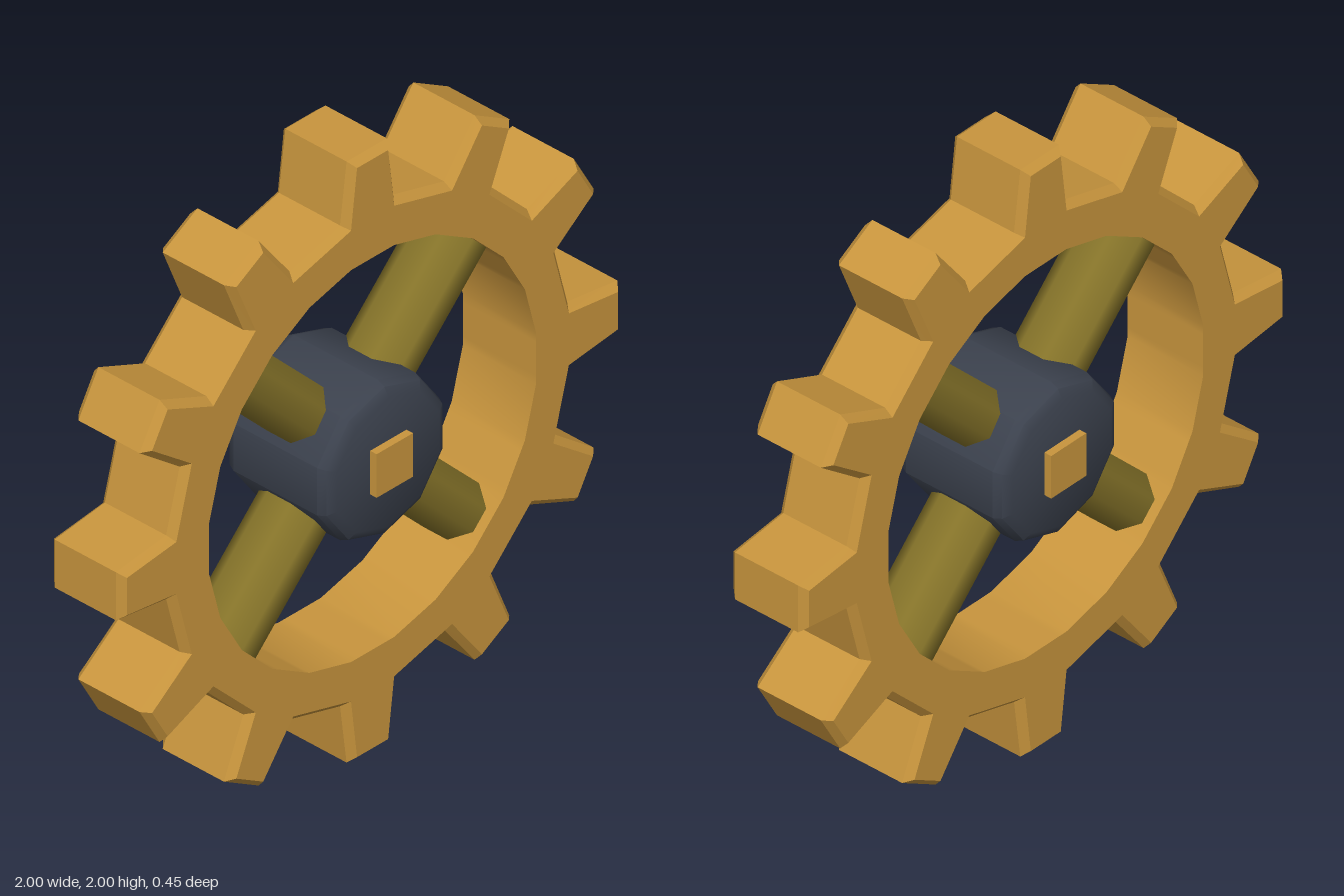
import * as THREE from 'three';
import { toCreasedNormals } from 'three/addons/utils/BufferGeometryUtils.js';

const TEETH = 12;

// Repeats one tooth's outline points [x, y] (tooth pointing along +x) around the wheel
function wheelLoop(tooth, z) {
  const loop = [];
  for (let i = 0; i < TEETH; i++) {
    const a = (i / TEETH) * Math.PI * 2, c = Math.cos(a), s = Math.sin(a);
    for (const [x, y] of tooth) loop.push([x * c - y * s, x * s + y * c, z]);
  }
  return loop;
}

// Joins closed loops with equal point counts into a closed tube; last loop meets the first
function joinLoops(loops) {
  const n = loops[0].length, index = [];
  for (let l = 0; l < loops.length; l++) {
    const m = (l + 1) % loops.length;
    for (let i = 0; i < n; i++) {
      const j = (i + 1) % n;
      const a = l * n + i, b = l * n + j, c = m * n + j, d = m * n + i;
      index.push(a, b, c, a, c, d);
    }
  }
  const geo = new THREE.BufferGeometry();
  geo.setAttribute('position', new THREE.Float32BufferAttribute(loops.flat(2), 3));
  geo.setIndex(index);
  return toCreasedNormals(geo, 0.35);
}

const mirrored = ([[rx, ry], [tx, ty]]) => [[rx, -ry], [tx, -ty], [tx, ty], [rx, ry]];

export function createModel() {
  const gold = new THREE.MeshStandardMaterial({ color: 0xc8953d });
  const olive = new THREE.MeshStandardMaterial({ color: 0x857329 });
  const iron = new THREE.MeshStandardMaterial({ color: 0x3b414d });

  const model = new THREE.Group();
  const wheel = new THREE.Group();
  wheel.name = 'gearWheel';
  wheel.position.y = 1;
  model.add(wheel);
  const add = (name, geo, mat, parent = wheel) => {
    const mesh = new THREE.Mesh(geo, mat);
    mesh.name = name;
    parent.add(mesh);
    return mesh;
  };

  // Toothed rim: bevelled outside, plain 24-sided hole
  const outer = mirrored([[0.8, 0.106], [1, 0.08]]);
  const face = mirrored([[0.783, 0.086], [0.98, 0.062]]);
  const hole = mirrored([[0.652, 0.0858], [0.652, 0.055]]);
  add('toothedRim', joinLoops([
    wheelLoop(hole, -0.14), wheelLoop(face, -0.14), wheelLoop(outer, -0.117),
    wheelLoop(outer, 0.117), wheelLoop(face, 0.14), wheelLoop(hole, 0.14),
  ]), gold);

  // Four diagonal eight-sided spokes, deeper than wide, from inside the hub into the rim
  const spokes = new THREE.Group();
  spokes.name = 'spokes';
  wheel.add(spokes);
  const spokeGeo = new THREE.CylinderGeometry(0.097, 0.097, 0.54, 8);
  spokeGeo.rotateY(Math.PI / 8);
  spokeGeo.scale(1, 1, 1.2);
  spokeGeo.translate(0, 0.41, 0);
  for (let i = 0; i < 4; i++) {
    add('spoke', spokeGeo, olive, spokes).rotation.z = Math.PI / 4 + (i * Math.PI) / 2;
  }

  // Ten-sided hub with rounded rims and a corner at the top
  const half = [[0.255, 0.16], [0.243, 0.185], [0.215, 0.2], [0, 0.2]];
  const profile = [...half.map(([r, h]) => [r, -h]).reverse(), ...half];
  const hubGeo = new THREE.LatheGeometry(profile.map(([r, h]) => new THREE.Vector2(r, h)), 10);
  hubGeo.rotateX(Math.PI / 2);
  add('hub', toCreasedNormals(hubGeo, 0.7), iron);

  // Square axle through the hub
  add('axle', new THREE.BoxGeometry(0.145, 0.145, 0.45), gold);

  return model;
}
